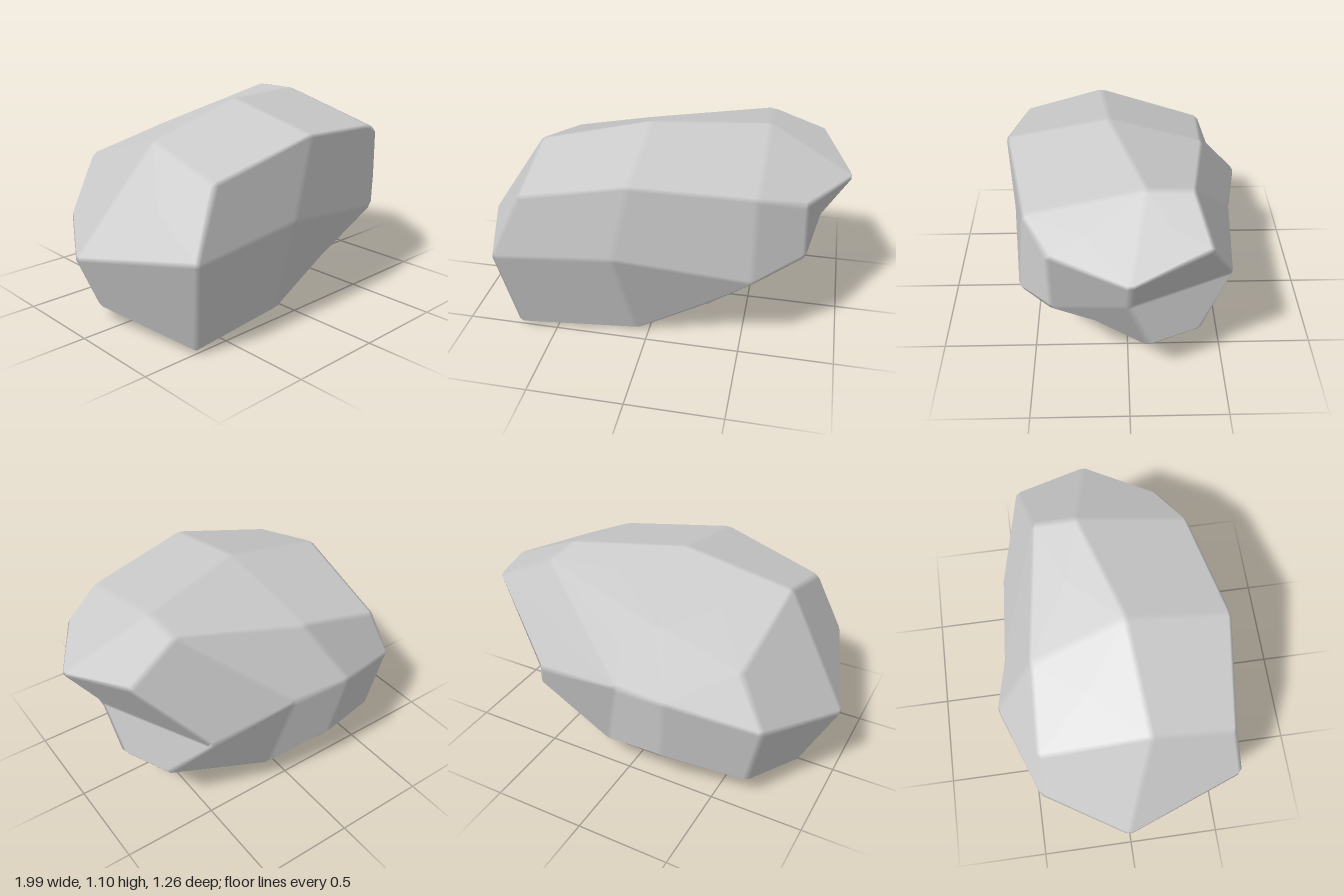
import * as THREE from 'three';

// Three cross-section loops of ten corners [x, y, z], going round from the front
const upper = [
  [-0.63, 0.85, 0.57], [-0.05, 0.995, 0.63], [0.56, 0.93, 0.51], [0.79, 0.86, 0.385], [1.01, 0.85, 0],
  [0.85, 0.935, -0.385], [0.56, 1.065, -0.315], [-0.15, 0.9, -0.42], [-0.61, 0.8, -0.44], [-0.635, 0.975, 0.13],
];
const middle = [
  [-0.78, 0.51, 0.62], [-0.14, 0.57, 0.62], [0.56, 0.48, 0.55], [0.8, 0.56, 0.38], [0.82, 0.57, 0],
  [0.51, 0.515, -0.545], [0.02, 0.575, -0.575], [-0.28, 0.625, -0.635], [-0.745, 0.49, -0.465], [-1.01, 0.42, -0.02],
];
const lower = [
  [-0.705, 0.015, 0.515], [-0.07, 0, 0.42], [0.3, 0.23, 0.445], [0.66, 0.335, 0.18], [0.78, 0.265, -0.1],
  [0.67, 0.265, -0.365], [0.12, 0.145, -0.505], [-0.23, 0.22, -0.57], [-0.66, 0.12, -0.43], [-0.83, 0.08, -0.1],
];
// Inner corners: two on the top, two on the underside
const inner = [[-0.05, 1.105, 0.085], [0.56, 1.07, -0.09], [0.23, 0, -0.11], [-0.1, 0, 0]];

// Faces as corner loops: u/m/l are the loops starting at 0/10/20, inner corners are 30..33
function rockFaces() {
  const faces = [];
  for (const base of [0, 10]) {
    for (let i = 0; i < 10; i++) {
      const j = (i + 1) % 10;
      faces.push([base + i, base + j, base + 10 + j, base + 10 + i]);
    }
  }
  // top
  faces.push([9, 30, 1, 0], [30, 31, 2, 1], [31, 4, 3, 2], [31, 6, 5, 4], [30, 7, 6, 31], [9, 8, 7, 30]);
  // underside
  faces.push([21, 22, 23, 24, 32], [24, 25, 26, 32], [33, 32, 26, 27], [33, 21, 32], [27, 28, 29, 33], [29, 20, 21, 33]);
  return faces.map((f) => f.reverse());
}

// Faceted solid with narrow, softly shaded bevels along every edge and corner
function bevelledSolid(corners, faces, inset) {
  const positions = [], normals = [], index = [];
  const addVertex = (p, n) => {
    positions.push(p.x, p.y, p.z);
    normals.push(n.x, n.y, n.z);
    return positions.length / 3 - 1;
  };
  const fan = (loop) => {
    for (let i = 1; i < loop.length - 1; i++) index.push(loop[0], loop[i], loop[i + 1]);
  };
  const edges = new Map(); // "a,b" -> inset vertices of that edge

  for (const f of faces) {
    const pts = f.map((i) => corners[i]);
    const centre = pts.reduce((s, p) => s.add(p), new THREE.Vector3()).divideScalar(pts.length);
    const normal = new THREE.Vector3();
    pts.forEach((p, i) => {
      const q = pts[(i + 1) % pts.length];
      normal.add(p.clone().sub(centre).cross(q.clone().sub(centre)));
    });
    normal.normalize();
    const ring = pts.map((p) => {
      const d = centre.clone().sub(p);
      return addVertex(p.clone().addScaledVector(d.normalize(), inset), normal);
    });
    const mid = addVertex(centre, normal);
    f.forEach((a, i) => {
      const k = (i + 1) % f.length;
      index.push(mid, ring[i], ring[k]);
      edges.set(`${a},${f[k]}`, { start: ring[i], end: ring[k], from: a, to: f[k] });
    });
  }

  // edge strips
  for (const e of edges.values()) {
    if (e.from > e.to) continue;
    const twin = edges.get(`${e.to},${e.from}`);
    fan([e.end, e.start, twin.end, twin.start]);
  }

  // corner patches: walk round the faces that meet at each corner
  corners.forEach((_, v) => {
    const around = [...edges.values()].filter((e) => e.from === v);
    const loop = [];
    let e = around[0];
    for (let n = 0; n < around.length; n++) {
      loop.push(e.start);
      const twin = edges.get(`${e.to},${v}`);
      e = around.find((o) => o.start === twin.end);
    }
    fan(loop.reverse());
  });

  const geometry = new THREE.BufferGeometry();
  geometry.setAttribute('position', new THREE.Float32BufferAttribute(positions, 3));
  geometry.setAttribute('normal', new THREE.Float32BufferAttribute(normals, 3));
  geometry.setIndex(index);
  return geometry;
}

export function createModel() {
  const group = new THREE.Group();
  group.name = 'boulder';
  const corners = [...upper, ...middle, ...lower, ...inner].map((c) => new THREE.Vector3(...c));
  const rock = new THREE.Mesh(
    bevelledSolid(corners, rockFaces(), 0.025),
    new THREE.MeshStandardMaterial({ color: 0xcccccc }),
  );
  rock.name = 'rock';
  group.add(rock);
  return group;
}
